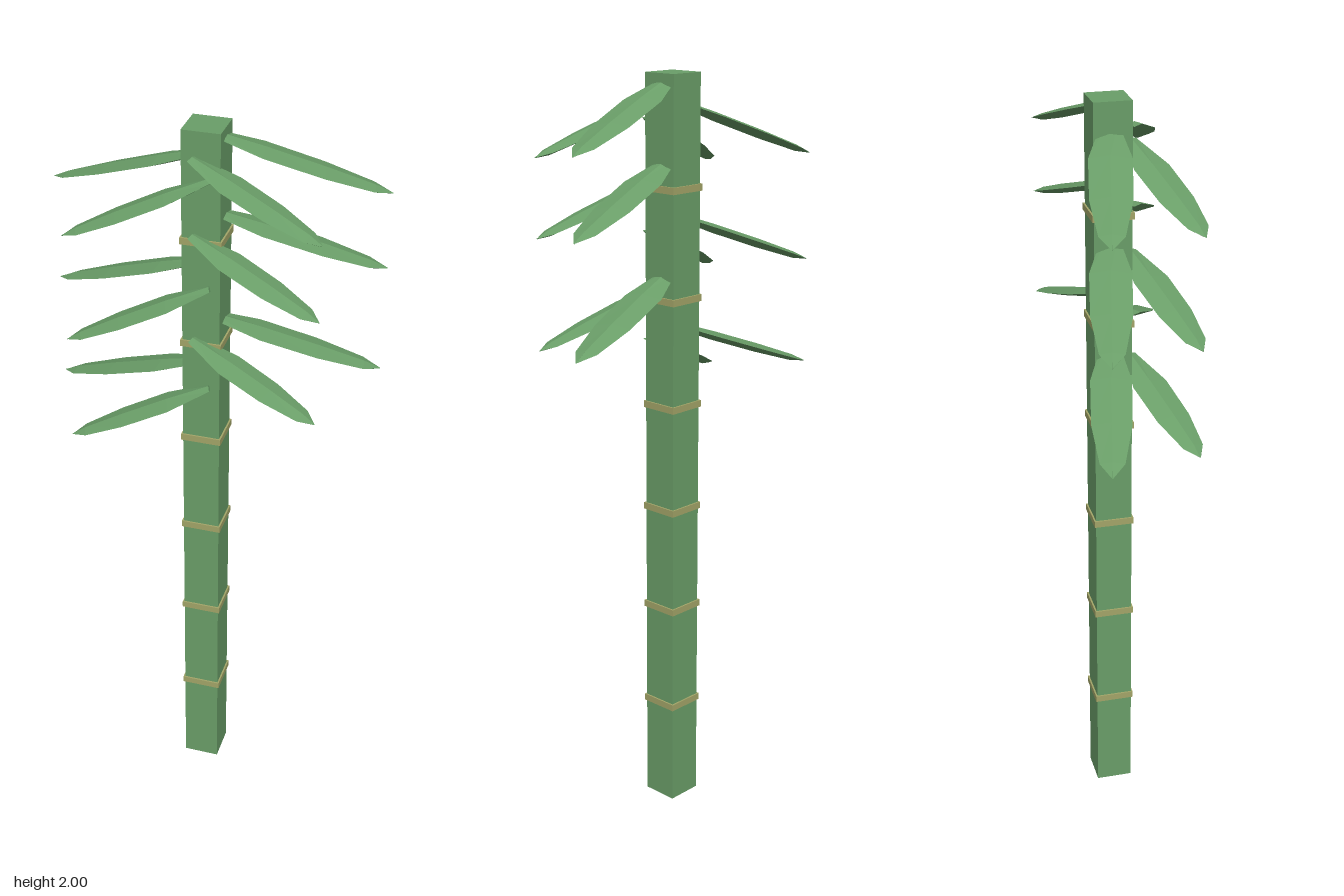
import * as THREE from 'three';

const stalkGreen = new THREE.MeshStandardMaterial({ name: 'stalkGreen', color: 0x6a9e68, flatShading: true });
const leafGreen = new THREE.MeshStandardMaterial({ name: 'leafGreen', color: 0x6a9e68, flatShading: true });
const bandTan = new THREE.MeshStandardMaterial({ name: 'bandTan', color: 0xa3a568, flatShading: true });

// Low-poly leaf blade: diamond cross-sections swept from base to tip.
function leafGeometry(base, tip, scale) {
  const axis = tip.clone().sub(base).normalize();
  const side = new THREE.Vector3(0, 1, 0).cross(axis).normalize();
  const normal = axis.clone().cross(side);
  // [position along the leaf, half width, ridge height, keel depth]
  const stations = [
    [0, 0.02, 0.006, 0.008],
    [0.3, 0.053, 0.01, 0.014],
    [0.63, 0.051, 0.01, 0.014],
    [0.9, 0.031, 0.007, 0.01],
    [1, 0.001, 0.001, 0.001],
  ];
  const positions = [];
  const index = [];
  for (const [t, w, ridge, keel] of stations) {
    const centre = base.clone().lerp(tip, t);
    for (const [s, n] of [[w * scale, 0], [0, ridge], [-w * scale, 0], [0, -keel]]) {
      const p = centre.clone().addScaledVector(side, s).addScaledVector(normal, n);
      positions.push(p.x, p.y, p.z);
    }
  }
  for (let i = 0; i < stations.length - 1; i++) {
    for (let j = 0; j < 4; j++) {
      const a = i * 4 + j, b = i * 4 + (j + 1) % 4;
      index.push(a, b, b + 4, a, b + 4, a + 4);
    }
  }
  const end = (stations.length - 1) * 4;
  index.push(0, 2, 1, 0, 3, 2, end, end + 1, end + 2, end, end + 2, end + 3);
  const geometry = new THREE.BufferGeometry();
  geometry.setAttribute('position', new THREE.Float32BufferAttribute(positions, 3));
  geometry.setIndex(index);
  geometry.computeVertexNormals();
  return geometry;
}

export function createModel() {
  const model = new THREE.Group();
  model.name = 'bamboo';

  const add = (name, geometry, material, x = 0, y = 0, z = 0) => {
    const mesh = new THREE.Mesh(geometry, material);
    mesh.name = name;
    mesh.position.set(x, y, z);
    model.add(mesh);
  };

  // Square stalk with a thin band at each joint
  const cx = -0.005, cz = -0.03;
  add('stalk', new THREE.BoxGeometry(0.098, 2, 0.098), stalkGreen, cx, 1, cz);
  const bandGeometry = new THREE.BoxGeometry(0.107, 0.018, 0.107);
  for (let i = 1; i <= 6; i++) add('jointBand' + i, bandGeometry, bandTan, cx, i * 2 / 7, cz);

  // Four leaves, repeated in three tiers
  const leftDrops = [0, 0.2, 0.487];
  const rightDrops = [0, 0.287, 0.573];
  const leaves = [
    ['backLeftLeaf', [0, 1.985, -0.025], [0.43, 1.84, -0.125], 1, leftDrops],
    ['frontLeftLeaf', [-0.025, 1.935, 0.03], [0.32, 1.805, 0.127], 0.92, leftDrops],
    ['backRightLeaf', [0, 1.935, -0.025], [-0.435, 1.77, -0.125], 1, rightDrops],
    ['frontRightLeaf', [0.02, 1.885, 0.03], [-0.322, 1.74, 0.127], 0.92, rightDrops],
  ];
  for (const [name, base, tip, scale, drops] of leaves) {
    const geometry = leafGeometry(new THREE.Vector3(...base), new THREE.Vector3(...tip), scale);
    drops.forEach((drop, i) => add(name + (i + 1), geometry, leafGreen, 0, -drop, 0));
  }
  return model;
}
